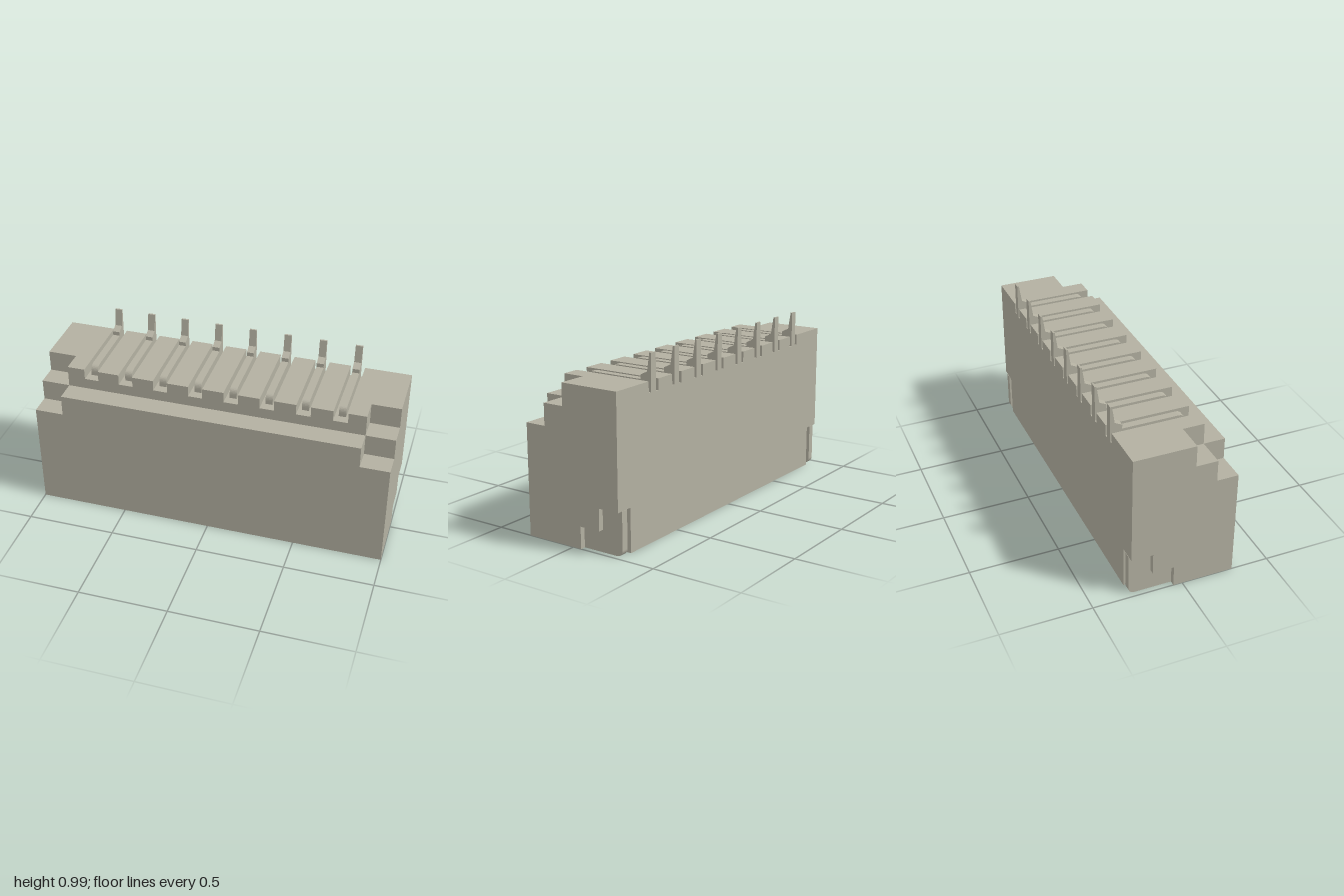
import * as THREE from 'three';

export function createModel() {
  const group = new THREE.Group();
  group.name = 'pinHeaderConnector';
  const material = new THREE.MeshStandardMaterial({ color: 0xb3b0a1 });
  material.name = 'warm grey';

  const toShape = (points) => new THREE.Shape(points.map(([a, b]) => new THREE.Vector2(a, b)));
  function addExtrusion(name, shape, depth, place) {
    const geo = new THREE.ExtrudeGeometry(shape, { depth, bevelEnabled: false, curveSegments: 8 });
    place(geo);
    const mesh = new THREE.Mesh(geo, material);
    mesh.name = name;
    group.add(mesh);
  }

  // Extrudes a side profile in (z, y) between two x positions
  const slab = (name, shape, x0, x1) =>
    addExtrusion(name, shape, x1 - x0, (geo) => geo.rotateY(-Math.PI / 2).translate(x1, 0, 0));

  // Side profiles: upper outlines run front to back, lower outlines back to front
  const back = -0.29, front = 0.29, mouthX = 0.9, mouthZ = 0.24, ceiling = 0.55;
  const stepTop = [[front, 0.73], [0.17, 0.73], [0.17, 0.85], [back, 0.85]];
  const slotTop = [[front, 0.73], [0.17, 0.73], [0.17, 0.79], [back, 0.79]];
  const cornerTop = [[front, 0.61], [0.17, 0.61], [0.17, 0.73], [0.05, 0.73], [0.05, 0.85], [back, 0.85]];
  const notchBase = [[back, 0.24], [-0.17, 0.24], [-0.17, 0.12], [-0.05, 0.12], [-0.05, 0], [front, 0]];
  const hollowBase = [[back, 0], [-0.245, 0], [-0.245, ceiling], [mouthZ, ceiling], [mouthZ, 0], [front, 0]];
  const endShape = toShape([...cornerTop, ...notchBase]);
  const shoulderShape = toShape([...cornerTop, ...hollowBase]);
  const ribShape = toShape([...stepTop, ...hollowBase]);
  const slotShape = toShape([...slotTop, ...hollowBase]);

  // Retaining clip plate with a rounded lower back corner
  const clip = toShape([[-0.05, 0], [-0.05, 0.12], [-0.17, 0.12], [-0.17, 0.24], [-0.292, 0.24], [-0.292, 0.035]]);
  clip.absarc(-0.257, 0.035, 0.035, Math.PI, Math.PI * 1.5, false);

  // Cavity lining with a sloped lead-in, measured inward from the mouth edge
  const lining = (mouth, side) => toShape(
    [[0, 0], [0, ceiling], [0.065, ceiling], [0.065, 0.12]].map(([inset, y]) => [side * (mouth - inset), y]));
  slab('frontLeadIn', lining(mouthZ, 1), -mouthX, mouthX);

  // Stepped housing ends with notches and clips
  for (const side of [-1, 1]) {
    const mirrored = (name, shape, a, b) =>
      slab(name, shape, Math.min(side * a, side * b), Math.max(side * a, side * b));
    mirrored('housingEnd', endShape, mouthX, 1);
    mirrored('housingShoulder', shoulderShape, 0.838, mouthX);
    mirrored('retainingClip', clip, 0.93, 0.97);
    addExtrusion('endLeadIn', lining(mouthX, side), mouthZ + 0.245, (geo) => geo.translate(0, 0, -0.245));
  }

  // Contact: rounded bend at the front, raised tail at the back, blade in the cavity
  const pin = toShape([[0.12, 0.23], [0.12, 0.81]]);
  pin.quadraticCurveTo(0.12, 0.85, 0.08, 0.85);
  for (const [z, y] of [[-0.225, 0.85], [-0.225, 0.873], [-0.265, 0.893], [-0.28, 0.99],
    [back, 0.99], [back, 0.785], [0.07, 0.785], [0.07, 0.23]]) pin.lineTo(z, y);
  pin.quadraticCurveTo(0.07, 0.2, 0.095, 0.2);
  pin.quadraticCurveTo(0.12, 0.2, 0.12, 0.23);

  // Housing middle, alternating ribs and contact slots
  let edge = -0.838;
  for (let i = 0; i < 8; i++) {
    const x = -0.7 + i * 0.2;
    slab('housingRib', ribShape, edge, x - 0.04);
    slab('housingSlot', slotShape, x - 0.04, x + 0.04);
    slab('contactPin', pin, x - 0.02, x + 0.02);
    edge = x + 0.04;
  }
  slab('housingRib', ribShape, edge, 0.838);

  return group;
}
